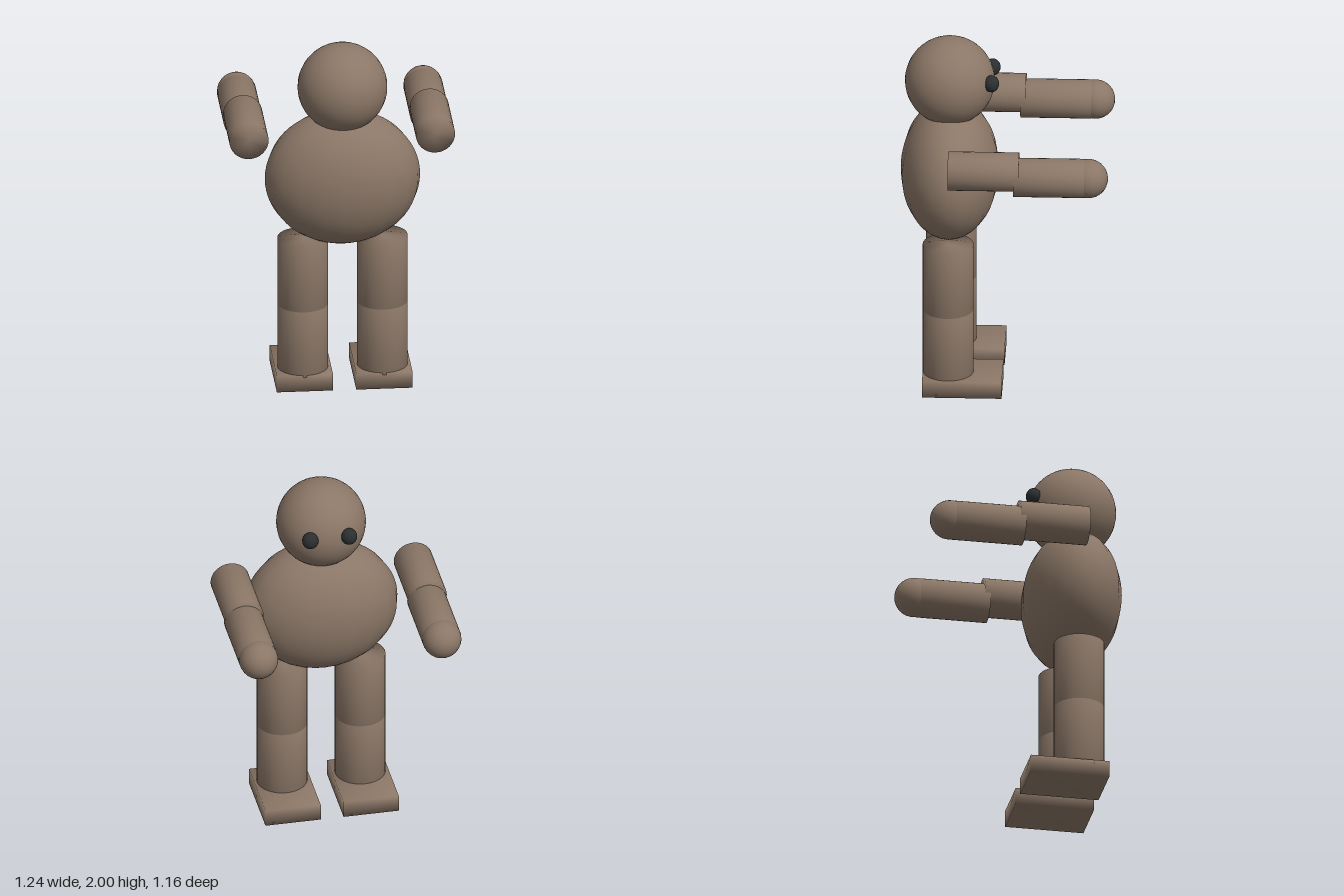
import * as THREE from 'three';
import { mergeVertices } from 'three/addons/utils/BufferGeometryUtils.js';

// Weld all corners so shading runs softly over the edges
function soften(geometry) {
  geometry.deleteAttribute('normal');
  geometry.deleteAttribute('uv');
  const welded = mergeVertices(geometry, 1e-4);
  welded.computeVertexNormals();
  return welded;
}

export function createModel() {
  const model = new THREE.Group();
  model.name = 'figure';

  const brown = new THREE.MeshStandardMaterial({ color: 0x8b7767 });
  brown.name = 'brown';
  const black = new THREE.MeshStandardMaterial({ color: 0x2b2f30 });
  black.name = 'black';

  function add(name, geometry, material, x, y, z) {
    const mesh = new THREE.Mesh(geometry, material);
    mesh.name = name;
    mesh.position.set(x, y, z);
    model.add(mesh);
    return mesh;
  }

  // Body and head
  add('body', new THREE.SphereGeometry(1, 20, 32), brown, 0, 1.22, 0.31).scale.set(0.428, 0.387, 0.27);
  add('head', new THREE.SphereGeometry(0.247, 32, 24), brown, 0, 1.753, 0.31);

  // Shared limb shapes; arms point along z, toward the face side
  const legSegment = soften(new THREE.CylinderGeometry(0.14, 0.14, 0.39, 32));
  const armSegment = soften(new THREE.CylinderGeometry(0.108, 0.108, 0.39, 32).rotateX(-Math.PI / 2));
  const footShape = soften(new THREE.BoxGeometry(0.31, 0.095, 0.438));
  const handShape = new THREE.SphereGeometry(0.108, 24, 16);
  const eyeShape = new THREE.SphereGeometry(0.045, 20, 14);

  for (const [side, s] of [['left', 1], ['right', -1]]) {
    add(side + 'Eye', eyeShape, black, s * 0.109, 1.786, 0.078).scale.set(1, 1.05, 0.95);

    add(side + 'UpperArm', armSegment, brown, s * 0.514, 1.443, 0.105);
    add(side + 'Forearm', armSegment, brown, s * 0.514, 1.411, -0.255);
    add(side + 'Hand', handShape, brown, s * 0.514, 1.411, -0.471);

    add(side + 'Thigh', legSegment, brown, s * 0.219, 0.667, 0.311);
    add(side + 'Shin', legSegment, brown, s * 0.219, 0.277, 0.311);
    add(side + 'Foot', footShape, brown, s * 0.219, 0.0475, 0.231);
  }

  return model;
}
